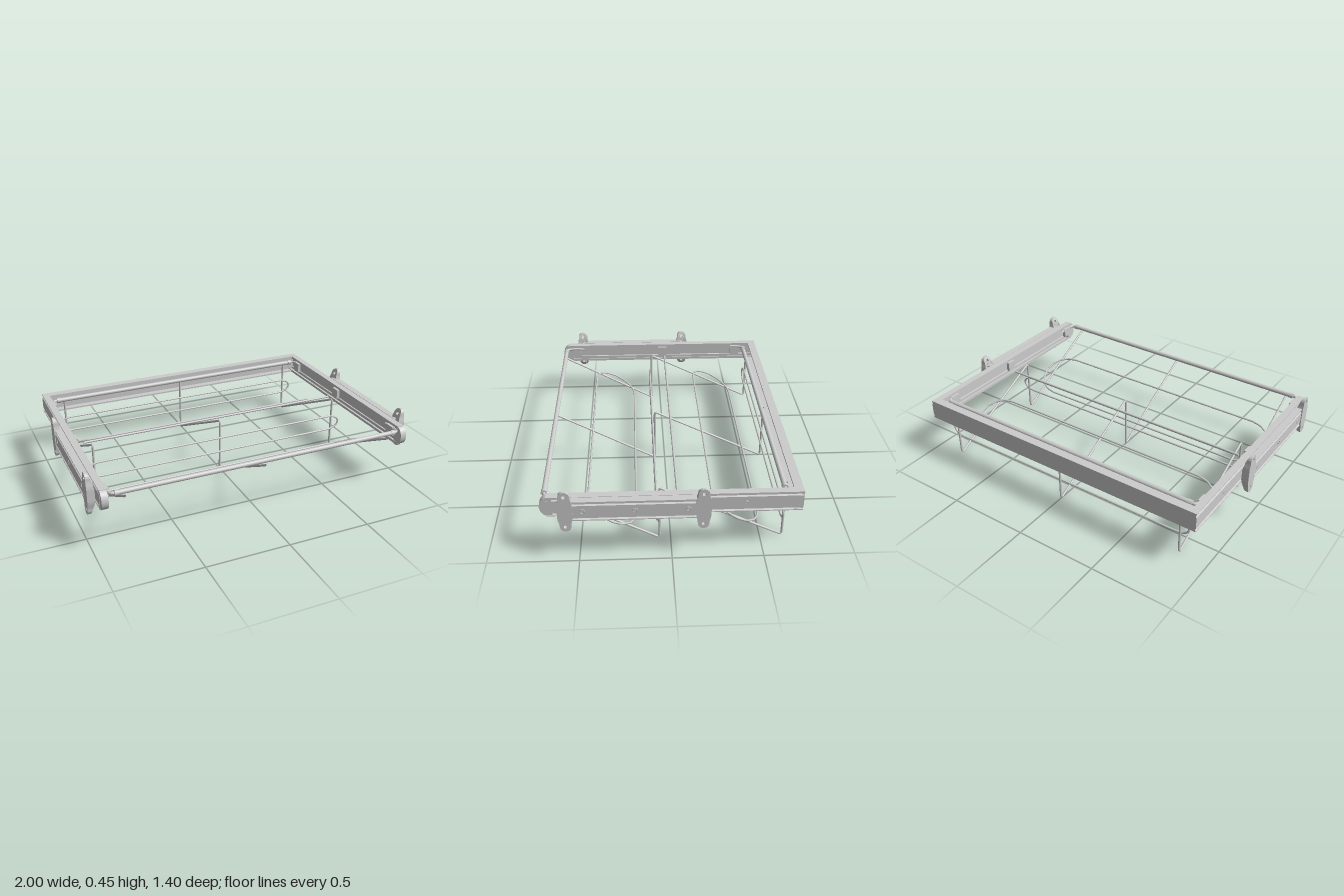
import * as THREE from 'three';
import { toCreasedNormals } from 'three/addons/utils/BufferGeometryUtils.js';

const MID = 0.325; // height of the slide centre line
const grey = new THREE.MeshStandardMaterial({ color: 0xcccccc, side: THREE.DoubleSide });
const V = (x, y, z) => new THREE.Vector3(x, y, z);

function add(group, name, geometry) {
  const mesh = new THREE.Mesh(geometry, grey);
  mesh.name = name;
  group.add(mesh);
  return mesh;
}

// Round wire along points, with rounded corners of size bend
function wire(points, radius, bend, segments, closed = false) {
  const path = new THREE.CurvePath();
  let last = points[0];
  for (let i = 1; i < points.length; i++) {
    const p = points[i], next = points[i + 1];
    if (bend && next) {
      const a = p.clone().add(last.clone().sub(p).setLength(bend));
      const b = p.clone().add(next.clone().sub(p).setLength(bend));
      path.add(new THREE.LineCurve3(last, a));
      path.add(new THREE.QuadraticBezierCurve3(a, p, b));
      last = b;
    } else {
      path.add(new THREE.LineCurve3(last, p));
      last = p;
    }
  }
  return new THREE.TubeGeometry(path, segments, radius, 8, closed);
}

// Long closed loop with rounded ends; dir is the short axis
function loop(centre, dir, half, endLength) {
  const pts = [], n = 8;
  for (const side of [1, -1]) {
    for (let i = 0; i <= n; i++) {
      const a = Math.PI * (i / n - 0.5);
      const x = side * (0.87 - endLength + endLength * Math.cos(a));
      pts.push(centre.clone().addScaledVector(dir, side * half * Math.sin(a)).add(V(x, 0, 0)));
    }
  }
  pts.push(pts[0].clone());
  return wire(pts, 0.006, 0, 160, true);
}

// Grooved slide section running along z; web outside, open inward
function slide(xOuter, z0, z1) {
  const top = [[0, 0.036], [0.01, 0.04], [0.01, 0.05], [0, 0.054], [0, 0.06], [0.042, 0.06],
    [0.042, 0.044], [0.036, 0.044], [0.036, 0.054], [0.016, 0.054], [0.016, 0.036], [0.008, 0.034]];
  const all = [...top, ...top.map(([u, v]) => [u, -v]).reverse()];
  const shape = new THREE.Shape(all.map(([u, v]) => new THREE.Vector2(xOuter - u, MID + v)));
  return new THREE.ExtrudeGeometry(shape, { depth: z1 - z0, bevelEnabled: false }).translate(0, 0, z0);
}

// Wall foot: flat outside, domed towards the slide, two screw holes
function footGeometry() {
  const s = new THREE.Shape();
  s.absarc(0, 0.095, 0.03, 0, Math.PI, false);
  s.bezierCurveTo(-0.03, 0.07, -0.04, 0.06, -0.04, 0.03);
  s.lineTo(-0.04, -0.03);
  s.bezierCurveTo(-0.04, -0.06, -0.03, -0.07, -0.03, -0.095);
  s.absarc(0, -0.095, 0.03, Math.PI, Math.PI * 2, false);
  s.bezierCurveTo(0.03, -0.07, 0.04, -0.06, 0.04, -0.03);
  s.lineTo(0.04, 0.03);
  s.bezierCurveTo(0.04, 0.06, 0.03, 0.07, 0.03, 0.095);
  for (const y of [0.095, -0.095]) {
    const hole = new THREE.Path();
    hole.absarc(0, y, 0.01, 0, Math.PI * 2, true);
    s.holes.push(hole);
  }
  const g = new THREE.ExtrudeGeometry(s, { depth: 0.05, bevelEnabled: false, curveSegments: 12 });
  const p = g.attributes.position;
  for (let i = 0; i < p.count; i++) {
    const v = p.getY(i) / 0.125;
    p.setZ(i, p.getZ(i) > 0.01 ? 0 : -0.045 + 0.03 * v * v);
  }
  g.computeVertexNormals();
  return toCreasedNormals(g, 0.6).rotateY(Math.PI / 2);
}

// One side (built at +x)
function createSide() {
  const side = new THREE.Group();
  add(side, 'innerSlide', slide(0.95, -0.7, 0.66));
  add(side, 'outerSlide', slide(0.995, -0.17, 0.56));
  const foot = footGeometry();
  for (const z of [0.56, -0.165]) add(side, 'wallFoot', foot).position.set(1, MID, z);

  // Rounded front end cap
  const cap = new THREE.Shape();
  cap.moveTo(-0.63, -0.057);
  cap.lineTo(-0.66, -0.057);
  cap.bezierCurveTo(-0.71, -0.04, -0.71, 0.04, -0.66, 0.057);
  cap.lineTo(-0.63, 0.057);
  const capGeo = new THREE.ExtrudeGeometry(cap, { depth: 0.038, bevelEnabled: false });
  add(side, 'endCap', toCreasedNormals(capGeo.rotateY(Math.PI / 2), 0.6)).position.set(0.91, MID, 0);

  // Screws on the outer faces
  for (const [z, x, r] of [[0.47, 0.995, 0.013], [0.195, 0.995, 0.013], [-0.085, 0.995, 0.013], [-0.395, 0.95, 0.008]]) {
    add(side, 'screwRing', new THREE.TorusGeometry(r, 0.003, 6, 20).rotateY(Math.PI / 2)).position.set(x, MID, z);
    add(side, 'screwHead', new THREE.CylinderGeometry(r * 0.5, r * 0.5, 0.006, 12).rotateZ(Math.PI / 2))
      .position.set(x, MID, z);
  }

  // Clips holding the basket
  for (const z of [0.6, -0.02, -0.55]) {
    add(side, 'clip', new THREE.BoxGeometry(0.02, 0.06, 0.06)).position.set(0.9, MID + 0.015, z);
  }
  // Bent ends of the cross rods
  for (const [z, back] of [[0.675, 0.55], [-0.61, -0.52]]) {
    add(side, 'rodEnd', wire([V(0.86, 0.36, z), V(0.9, 0.36, z), V(0.9, 0.36, back)], 0.009, 0.03, 24));
  }
  return side;
}

export function createModel() {
  const model = new THREE.Group();
  model.name = 'pullOutRack';

  const left = createSide();
  left.name = 'leftSide';
  const right = createSide();
  right.name = 'rightSide';
  right.scale.x = -1;
  model.add(left, right);

  // Rear channel, open to the front
  add(model, 'rearWeb', new THREE.BoxGeometry(1.89, 0.118, 0.01)).position.set(0, MID, -0.695);
  for (const y of [0.38, 0.27]) {
    add(model, 'rearFlange', new THREE.BoxGeometry(1.89, 0.01, 0.05)).position.set(0, y, -0.675);
  }

  // Cross rods with end collars
  for (const z of [0.675, -0.61]) {
    add(model, 'crossRod', new THREE.CylinderGeometry(0.014, 0.014, 1.74, 16).rotateZ(Math.PI / 2))
      .position.set(0, 0.36, z);
    for (const x of [-0.86, 0.86]) {
      add(model, 'rodCollar', new THREE.CylinderGeometry(0.017, 0.017, 0.025, 16).rotateZ(Math.PI / 2))
        .position.set(x, 0.36, z);
    }
  }

  // Zigzag support wires
  for (const x of [-0.82, 0, 0.82]) {
    const pts = [V(x, 0.335, 0.685), V(x, 0, 0.062), V(x, 0.34, 0.062), V(x, 0, -0.627), V(x, 0.355, -0.627)];
    add(model, 'supportWire', wire(pts, 0.007, 0.02, 200));
  }

  // Sloping shelf loops and upright stop loops
  const slope = V(0, 0.14, 0.266).normalize();
  for (const z of [0.3225, -0.3675]) {
    add(model, 'shelfLoop', loop(V(0, 0.156, z), slope, 0.15, 0.16));
  }
  for (const z of [0.075, -0.614]) {
    add(model, 'stopLoop', loop(V(0, 0.177, z), V(0, 1, 0), 0.048, 0.08));
  }
  // Middle cross wire
  add(model, 'middleWire', new THREE.CylinderGeometry(0.007, 0.007, 1.7, 10).rotateZ(Math.PI / 2))
    .position.set(0, 0.315, -0.035);
  return model;
}
